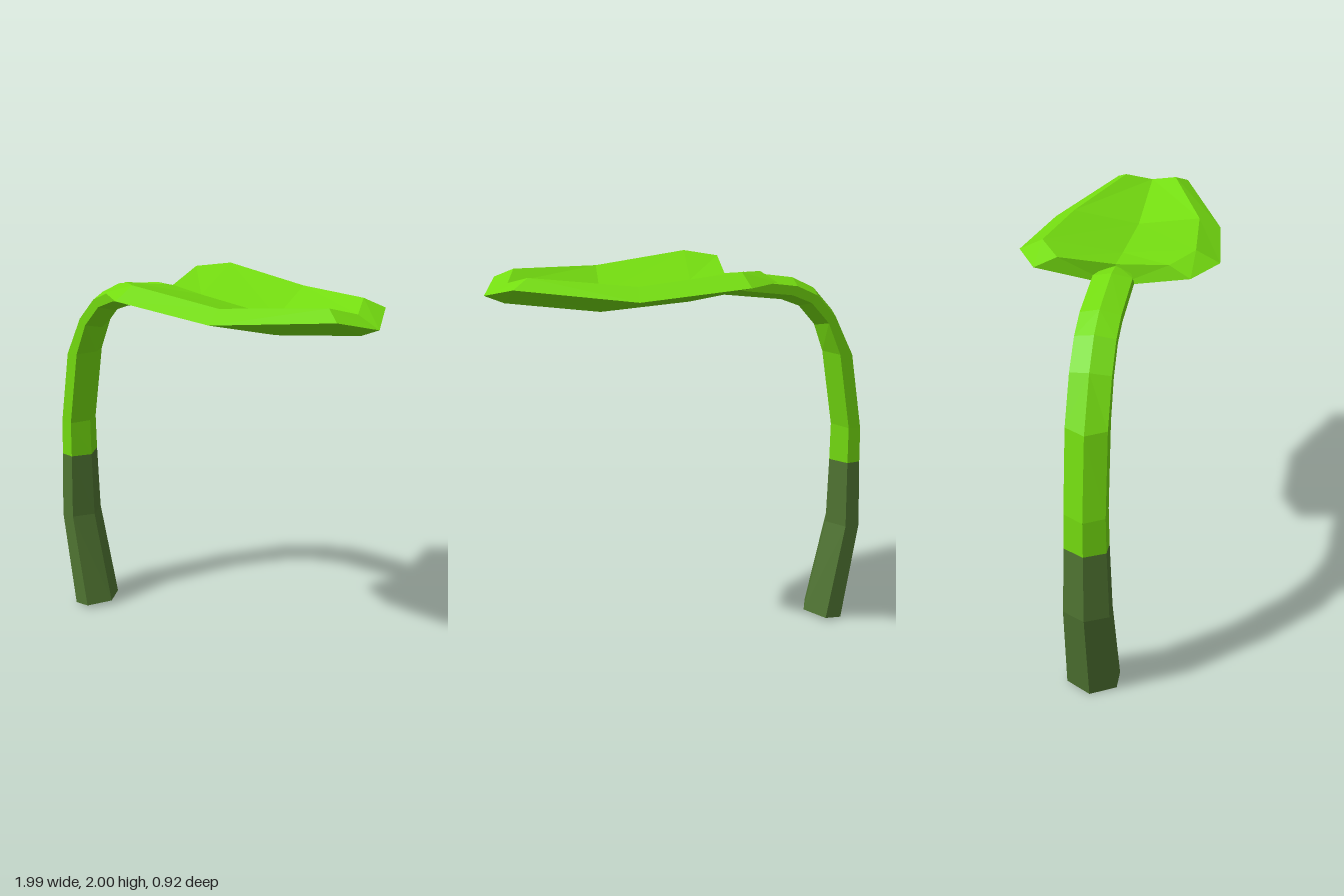
import * as THREE from 'three';

const leafGreen = new THREE.MeshStandardMaterial({ color: 0x74dc10 });
leafGreen.name = 'leafGreen';
const stalkGreen = new THREE.MeshStandardMaterial({ color: 0x507532 });
stalkGreen.name = 'stalkGreen';

// Faceted skin through closed rings of points, capped at both ends.
function loft(name, rings, material) {
  const pos = [];
  const tri = (a, b, c) => pos.push(...a, ...b, ...c);
  const n = rings[0].length;
  for (let i = 0; i < rings.length - 1; i++) {
    for (let j = 0; j < n; j++) {
      const k = (j + 1) % n;
      const a = rings[i][j], b = rings[i][k], c = rings[i + 1][k], d = rings[i + 1][j];
      // mirror the diagonal so both halves match
      if (j < n / 2) { tri(a, d, c); tri(a, c, b); }
      else { tri(a, d, b); tri(d, c, b); }
    }
  }
  const first = rings[0], last = rings[rings.length - 1];
  for (let j = 1; j < n - 1; j++) {
    tri(first[0], first[j], first[j + 1]);
    tri(last[0], last[j + 1], last[j]);
  }
  const geo = new THREE.BufferGeometry();
  geo.setAttribute('position', new THREE.Float32BufferAttribute(pos, 3));
  geo.computeVertexNormals();
  const mesh = new THREE.Mesh(geo, material);
  mesh.name = name;
  return mesh;
}

// Six-sided stem ring from its outer and inner ridge points and half width.
function stemRing([ox, oy, ix, iy, w]) {
  const at = (t, z) => [ox + (ix - ox) * t, oy + (iy - oy) * t, z];
  return [at(1, 0), at(0.68, w), at(0.27, w), at(0, 0), at(0.27, -w), at(0.68, -w)];
}

// Leaf ring: keel, rim, raised fold, central valley, then mirrored.
function leafRing([keel, rim, fold, valley]) {
  const flip = ([x, y, z]) => [x, y, -z];
  return [keel, rim, fold, valley, flip(fold), flip(rim)];
}

export function createModel() {
  const model = new THREE.Group();
  model.name = 'sprout';

  // Dark lower stalk
  model.add(loft('lowerStalk', [
    [-0.91, 0.0, -0.685, 0.025, 0.123],
    [-0.995, 0.54, -0.8, 0.54, 0.108],
    [-0.98, 0.9, -0.805, 0.9, 0.096],
  ].map(stemRing), stalkGreen));

  // Bright stem bending over to the leaf
  model.add(loft('upperStem', [
    [-0.98, 0.9, -0.805, 0.9, 0.096],
    [-0.975, 1.08, -0.805, 1.1, 0.093],
    [-0.905, 1.48, -0.735, 1.5, 0.092],
    [-0.78, 1.71, -0.685, 1.64, 0.091],
    [-0.67, 1.83, -0.59, 1.745, 0.09],
    [-0.55, 1.89, -0.49, 1.785, 0.09],
    [-0.28, 1.935, -0.18, 1.83, 0.09],
    [-0.16, 1.925, -0.13, 1.835, 0.06],
  ].map(stemRing), leafGreen));

  // Folded leaf, from the notch to the tip
  const tip = [0.99, 1.91, 0];
  model.add(loft('leaf', [
    [[-0.18, 1.83, 0], [-0.29, 1.94, 0.35], [-0.25, 1.98, 0.25], [-0.18, 1.935, 0]],
    [[0, 1.81, 0], [-0.11, 1.945, 0.46], [-0.11, 2, 0.35], [0, 1.915, 0]],
    [[0.45, 1.795, 0], [0.4, 1.91, 0.41], [0.37, 1.96, 0.31], [0.45, 1.88, 0]],
    [[0.9, 1.87, 0], [0.9, 1.96, 0.185], [0.82, 2, 0.13], [0.88, 1.96, 0]],
    [tip, tip, tip, tip],
  ].map(leafRing), leafGreen));

  return model;
}
